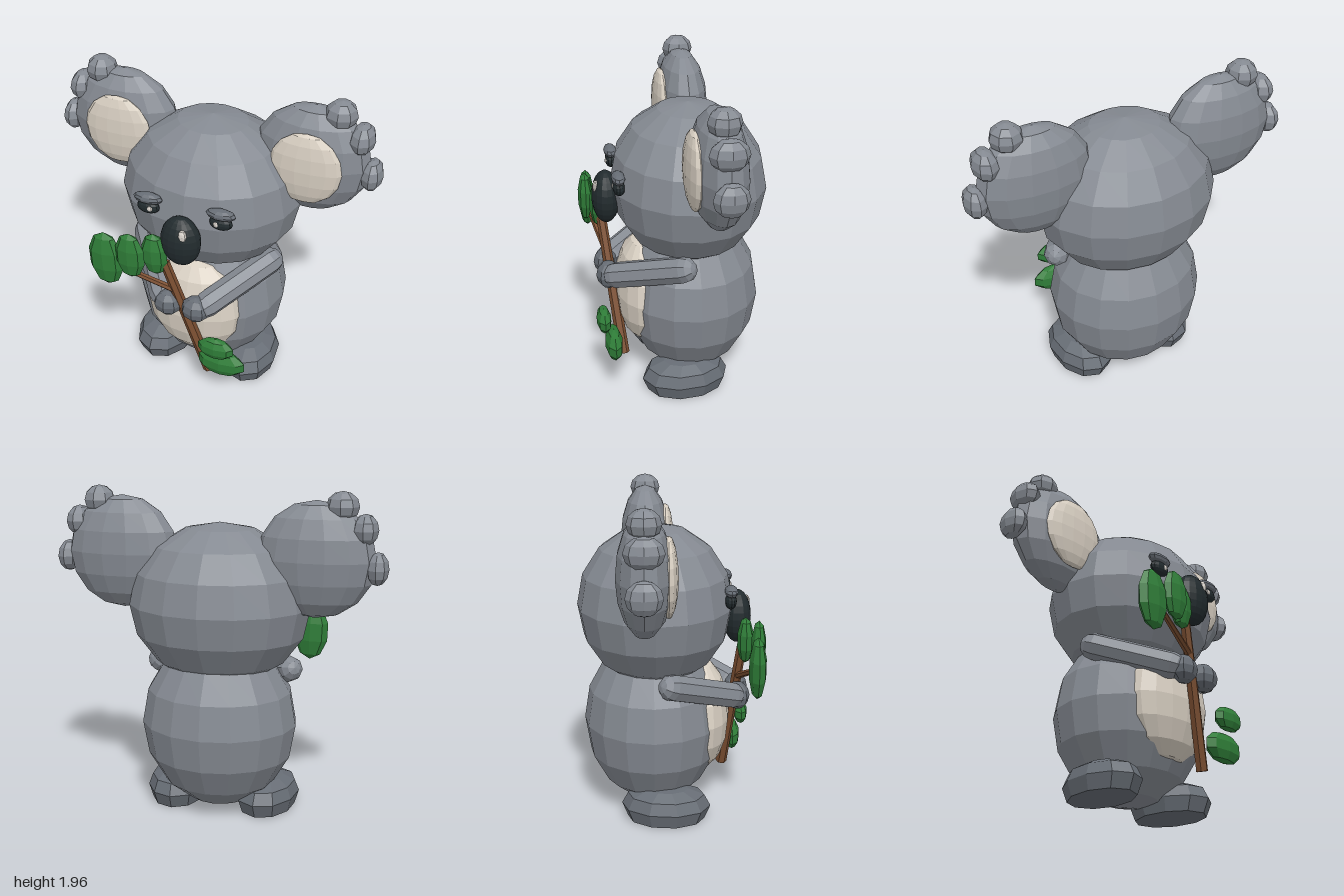
import * as THREE from 'three';

const paint = (name, color) => {
  const m = new THREE.MeshStandardMaterial({ color, flatShading: true });
  m.name = name;
  return m;
};

export function createModel() {
  const fur = paint('grey fur', 0x858a92);
  const darkFur = paint('dark grey fur', 0x676d75);
  const cream = paint('cream fur', 0xd8cfc2);
  const black = paint('black', 0x222b2e);
  const green = paint('leaf green', 0x2f7d38);
  const brown = paint('bark brown', 0x7d5032);
  const glint = paint('glint', 0xdcd6cf);

  const model = new THREE.Group();
  model.name = 'koala';

  const add = (name, geometry, material, position = [0, 0, 0], parent = model) => {
    const mesh = new THREE.Mesh(geometry, material);
    mesh.name = name;
    mesh.position.set(...position);
    parent.add(mesh);
    return mesh;
  };

  // Faceted ellipsoid given by its centre and three radii
  const blob = (name, material, position, radii, segments = 16, rings = 8) =>
    add(name, new THREE.SphereGeometry(1, segments, rings).scale(...radii), material, position);

  // Turns a mesh built along y so that it spans two points
  const span = (name, material, from, to, makeGeometry) => {
    const a = new THREE.Vector3(...from), b = new THREE.Vector3(...to);
    const dir = b.clone().sub(a);
    const mid = a.clone().add(b).multiplyScalar(0.5);
    const mesh = add(name, makeGeometry(dir.length()), material, mid.toArray());
    mesh.quaternion.setFromUnitVectors(new THREE.Vector3(0, 1, 0), dir.normalize());
    return mesh;
  };

  // Body, belly and head
  blob('body', fur, [0, 0.55, -0.1], [0.475, 0.53, 0.43]);
  blob('belly', cream, [0, 0.57, 0.19], [0.31, 0.35, 0.175]);
  blob('head', fur, [0, 1.275, -0.09], [0.55, 0.485, 0.47]);

  // Nose with its highlight
  blob('nose', black, [0, 1.195, 0.405], [0.122, 0.163, 0.085], 16, 12);
  blob('noseHighlight', glint, [0.037, 1.275, 0.465], [0.025, 0.04, 0.02], 10, 6);

  // Foot outline: flat sole, bulging side, domed top
  const footProfile = [[0, 0], [0.87, 0], [1, 0.085], [0.86, 0.155], [0.5, 0.193], [0, 0.2]]
    .map(([r, y]) => new THREE.Vector2(r, y));

  for (const [side, s] of [['left', 1], ['right', -1]]) {
    // Ear with inner patch and tufts along the outer rim
    blob(side + 'Ear', fur, [s * 0.585, 1.572, -0.15], [0.345, 0.337, 0.16], 14, 8);
    blob(side + 'InnerEar', cream, [s * 0.58, 1.565, -0.02], [0.213, 0.225, 0.055], 14, 8);
    const tufts = [
      [0.73, 1.877, 0.095, 0.085, 0.095],
      [0.86, 1.75, 0.075, 0.09, 0.11],
      [0.935, 1.535, 0.065, 0.095, 0.1],
    ];
    for (const [x, y, rx, ry, rz] of tufts) {
      blob(side + 'EarTuft', fur, [s * x, y, -0.15], [rx, ry, rz], 8, 6);
    }

    // Eye and heavy brow
    blob(side + 'Eye', black, [s * 0.222, 1.34, 0.348], [0.07, 0.045, 0.035], 12, 8);
    blob(side + 'EyeGlint', glint, [s * 0.202, 1.342, 0.375], [0.018, 0.018, 0.012], 8, 6);
    blob(side + 'Brow', darkFur, [s * 0.222, 1.398, 0.35], [0.09, 0.034, 0.04], 10, 6);

    // Arm reaching forward to the branch
    span(side + 'Arm', fur, [s * 0.455, 0.9, -0.06], [s * 0.1, 0.71, 0.43],
      (length) => new THREE.CapsuleGeometry(0.08, length - 0.16, 3, 8));
    blob(side + 'Hand', darkFur, [s * 0.09, 0.715, 0.41], [0.09, 0.085, 0.075], 8, 6);

    // Foot
    const foot = new THREE.LatheGeometry(footProfile, 10).scale(0.188, 1, 0.27);
    add(side + 'Foot', foot, darkFur, [s * 0.29, 0, -0.03]).rotation.y = s * 0.1;
  }

  // Branch held in both hands, with a twig carrying the upper leaves
  span('branch', brown, [0.145, 0.18, 0.335], [-0.095, 1.03, 0.43],
    (length) => new THREE.CylinderGeometry(0.03, 0.036, length, 6));
  span('twig', brown, [-0.03, 0.82, 0.41], [-0.38, 0.97, 0.49],
    (length) => new THREE.CylinderGeometry(0.016, 0.022, length, 6));

  // Leaves: centre, radii and lean
  const leaves = [
    [[-0.443, 1.0, 0.49], [0.113, 0.187, 0.052], 0.04],
    [[-0.275, 1.083, 0.51], [0.095, 0.155, 0.045], 0.02],
    [[-0.15, 1.083, 0.445], [0.083, 0.143, 0.05], 0.05],
    [[0.238, 0.488, 0.46], [0.118, 0.074, 0.046], 0],
    [[0.255, 0.33, 0.405], [0.157, 0.093, 0.055], 0],
  ];
  for (const [center, radii, lean] of leaves) {
    blob('leaf', green, center, radii, 8, 5).rotation.z = lean;
  }

  return model;
}
